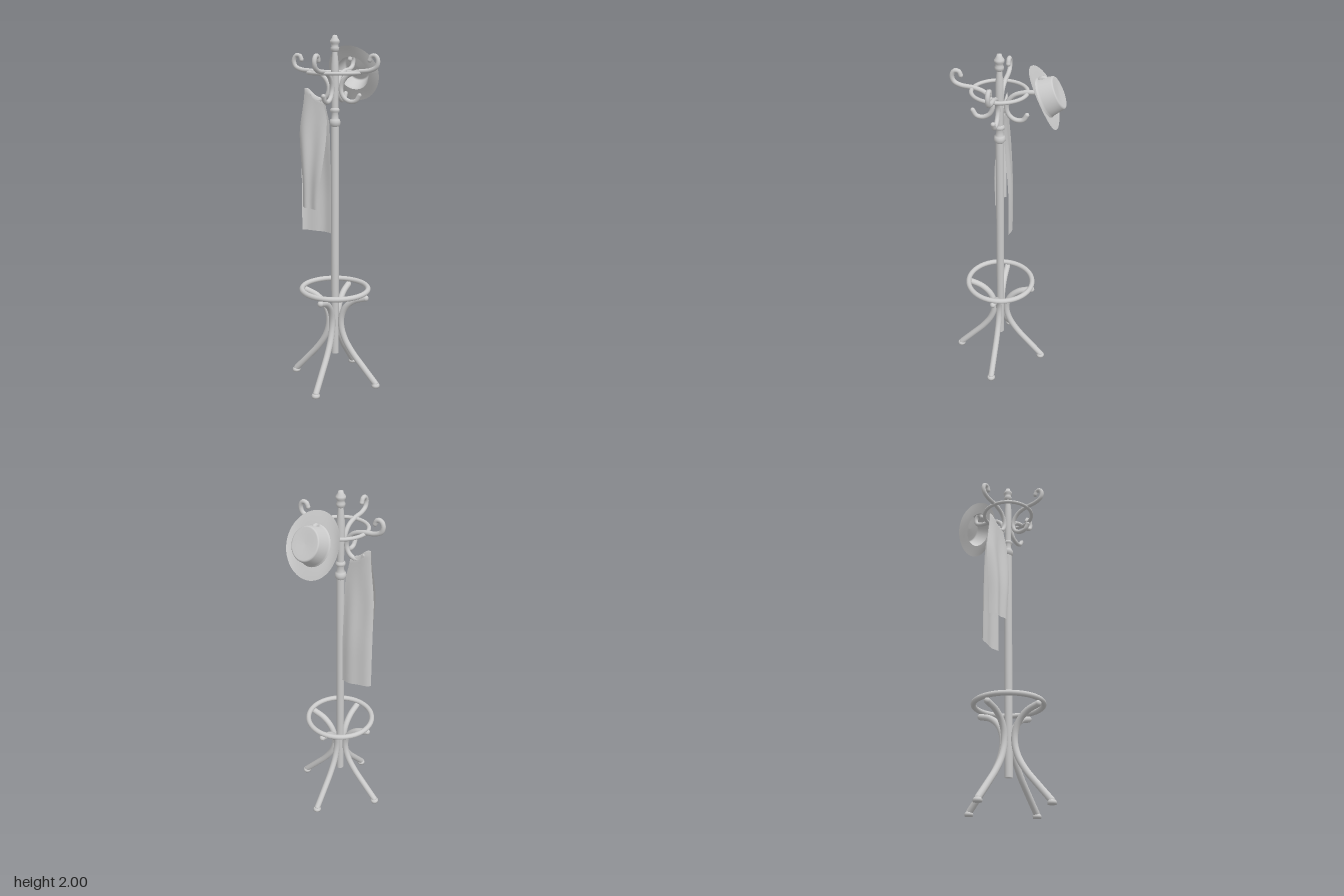
import * as THREE from 'three';

const material = new THREE.MeshStandardMaterial({ color: 0xcccccc });
const thin = new THREE.MeshStandardMaterial({ color: 0xcccccc, side: THREE.DoubleSide });

function add(parent, name, geometry, mat = material) {
  const mesh = new THREE.Mesh(geometry, mat);
  mesh.name = name;
  parent.add(mesh);
  return mesh;
}

const lathe = (pts, seg = 24) =>
  new THREE.LatheGeometry(pts.map(([r, y]) => new THREE.Vector2(r, y)), seg);

// Round bentwood rod with domed ends
function rod(parent, name, pts, radius) {
  const path = pts.map(([x, y]) => new THREE.Vector3(x, y, 0));
  const curve = new THREE.CatmullRomCurve3(path, false, 'centripetal');
  add(parent, name, new THREE.TubeGeometry(curve, 48, radius, 12));
  for (const p of [path[0], path[path.length - 1]])
    add(parent, name + 'End', new THREE.SphereGeometry(radius, 12, 8)).position.copy(p);
}

// Grid surface from a rule (u, v) -> [x, y, z]
function surface(nu, nv, rule) {
  const pos = [], idx = [];
  for (let i = 0; i <= nu; i++)
    for (let j = 0; j <= nv; j++) pos.push(...rule(i / nu, j / nv));
  for (let i = 0; i < nu; i++)
    for (let j = 0; j < nv; j++) {
      const a = i * (nv + 1) + j, b = a + nv + 1;
      idx.push(a, b, a + 1, b, b + 1, a + 1);
    }
  const g = new THREE.BufferGeometry();
  g.setAttribute('position', new THREE.Float32BufferAttribute(pos, 3));
  g.setIndex(idx);
  g.computeVertexNormals();
  return g;
}

function makeHat() {
  const hat = new THREE.Group();
  hat.name = 'hat';
  // Oval brim with its sides gently curled towards the crown
  add(hat, 'brim', surface(6, 48, (u, v) => {
    const a = -v * Math.PI * 2, c = Math.cos(a), s = Math.sin(a);
    const rx = 0.094 + 0.058 * u, rz = 0.104 + 0.07 * u;
    return [rx * c, u * u * (0.016 * c * c - 0.002), rz * s];
  }), thin);
  // Tapered hollow crown with a slightly dished top
  const crown = lathe([[0.1, 0], [0.097, 0.006], [0.094, 0.012], [0.083, 0.076],
    [0.08, 0.082], [0.074, 0.084], [0.045, 0.081], [0, 0.079]], 40);
  crown.scale(0.95, 1, 1.07);
  add(hat, 'crown', crown, thin);
  hat.position.set(0.005, 1.79, -0.208);
  hat.rotation.x = -Math.atan2(0.896, 0.445);
  return hat;
}

// Draped cloth: front panel, fold over the hook, longer back panel
function makeCloth() {
  const lerp = THREE.MathUtils.lerp, smooth = THREE.MathUtils.smoothstep;
  return surface(64, 24, (u, s) => {
    const front = u < 0.5, d = Math.abs(u - 0.5) * 2, t = d * d;
    const top = lerp(1.715, 1.655, s) + 0.012 * Math.sin(s * Math.PI * 2.2) * (1 - s);
    const y = lerp(top, front ? 1.045 - 0.008 * s : 0.895 - 0.01 * s, t);
    const left = -0.185 - 0.032 * smooth(t, 0, 0.4) + (front ? 0.02 * smooth(t, 0.35, 0.9) : 0);
    const right = -0.065 + 0.025 * smooth(t, 0, 0.2) - (front ? 0.042 * smooth(t, 0.3, 1) : 0);
    const curl = Math.pow(Math.sin(Math.min(1, s * 2.2 + 0.06) * Math.PI / 2), 0.7);
    const wave = 0.006 * Math.sin(s * 9 + (front ? 0 : 1.5)) * smooth(t, 0.02, 0.5);
    const out = (0.012 * Math.sqrt(Math.min(1, t * 30)) + 0.034 * smooth(t, 0, 0.75)) * curl + wave;
    return [lerp(left, right, s), y, 0.027 + (front ? out : -out)];
  });
}

export function createModel() {
  const model = new THREE.Group();
  model.name = 'coatStand';
  const stand = new THREE.Group();
  stand.name = 'stand';
  stand.position.z = 0.027;
  model.add(stand);

  // Turned central pole with collars and finial
  add(stand, 'pole', lathe([[0, 0.17], [0.022, 0.17], [0.022, 1.515]]));
  add(stand, 'collar', lathe([[0.022, 1.51], [0.03, 1.52], [0.031, 1.535], [0.027, 1.548],
    [0.02, 1.553], [0.018, 1.585], [0.026, 1.59], [0.027, 1.603], [0.019, 1.612]]));
  add(stand, 'upperPole', lathe([[0.019, 1.6], [0.019, 1.66], [0.022, 1.74], [0.021, 1.84],
    [0.015, 1.9], [0.014, 1.912]]));
  add(stand, 'finial', lathe([[0.014, 1.91], [0.023, 1.918], [0.024, 1.932], [0.019, 1.94],
    [0.021, 1.952], [0.027, 1.96], [0.026, 1.97], [0.016, 1.984], [0.012, 1.997], [0, 2]]));

  // Four legs and four S-shaped double hooks around the pole
  for (let i = 0; i < 4; i++) {
    const side = new THREE.Group();
    side.name = 'legAndHook';
    side.rotation.y = i * Math.PI / 2;
    stand.add(side);
    rod(side, 'leg', [[0.192, 0.537], [0.12, 0.512], [0.07, 0.468], [0.043, 0.41], [0.04, 0.345],
      [0.062, 0.27], [0.11, 0.192], [0.18, 0.11], [0.258, 0.022]], 0.018);
    add(side, 'foot', lathe([[0, 0], [0.023, 0], [0.024, 0.012], [0.018, 0.022], [0, 0.024]], 16))
      .position.x = 0.261;
    rod(side, 'hook', [[0.203, 1.868], [0.213, 1.889], [0.236, 1.89], [0.25, 1.865], [0.241, 1.833],
      [0.205, 1.815], [0.13, 1.806], [0.075, 1.785], [0.043, 1.745], [0.037, 1.705],
      [0.055, 1.667], [0.09, 1.648], [0.125, 1.653], [0.145, 1.682]], 0.0125);
  }

  // Hoop tying the hooks together, and the umbrella hoop on the legs
  for (const [name, R, rw, rh, y] of [['hookRing', 0.145, 0.011, 0.01, 1.8],
    ['umbrellaRing', 0.192, 0.015, 0.015, 0.569]]) {
    const g = new THREE.TorusGeometry(R, rw, 12, 48);
    g.rotateX(Math.PI / 2);
    g.scale(1, rh / rw, 1);
    add(stand, name, g).position.y = y;
  }

  model.add(makeHat());
  add(model, 'cloth', makeCloth(), thin);
  return model;
}
